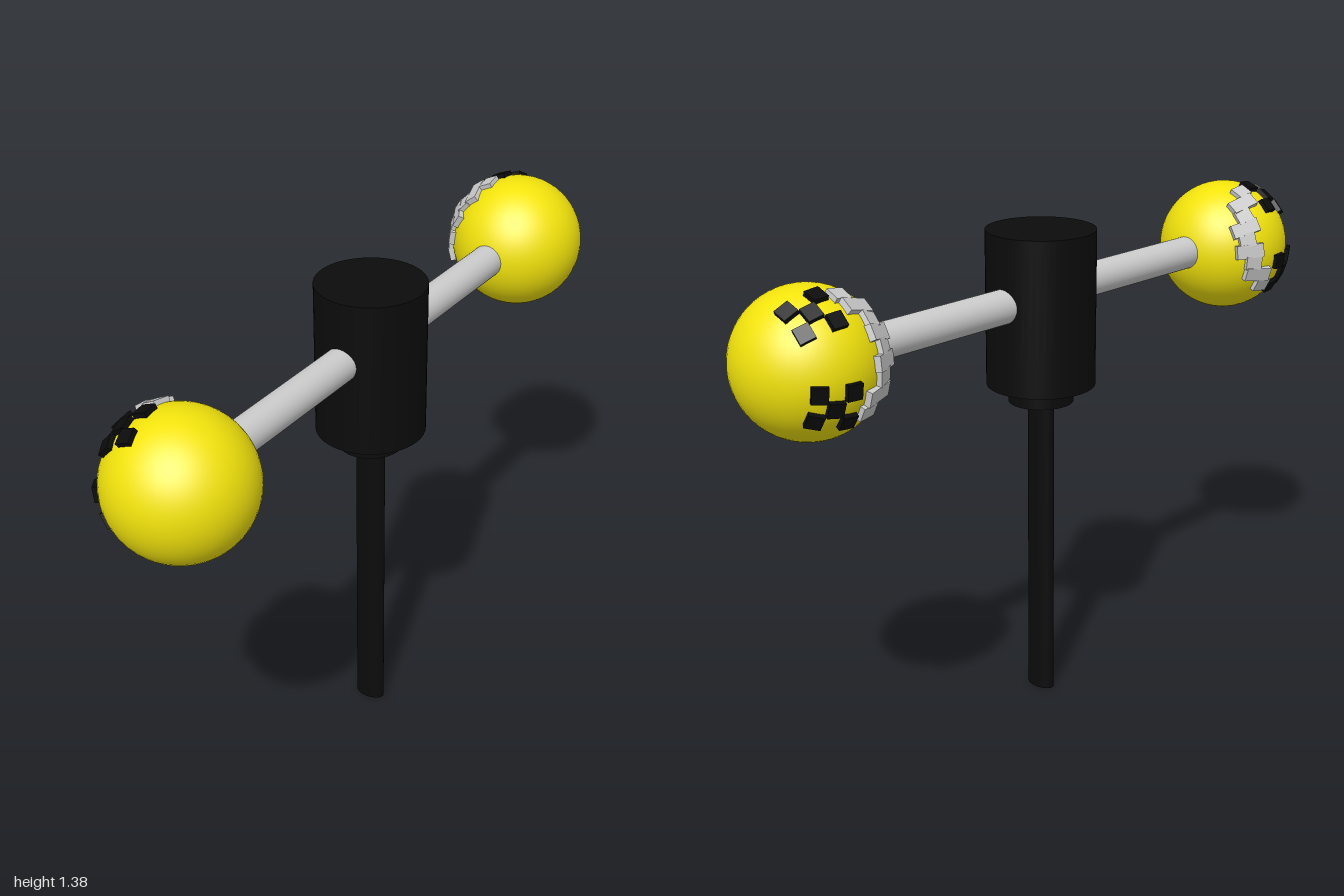
import * as THREE from 'three';

const yellow = new THREE.MeshStandardMaterial({ color: 0xf2e30c });
const black = new THREE.MeshStandardMaterial({ color: 0x0b0b0b });
const grey = new THREE.MeshStandardMaterial({ color: 0xcccccc });

const AXIS_X = 0.005, BALL_R = 0.19, BALL_Z = 0.81;
const rad = THREE.MathUtils.degToRad;

function add(parent, name, geometry, material, x = 0, y = 0, z = 0) {
  const mesh = new THREE.Mesh(geometry, material);
  mesh.name = name;
  mesh.position.set(x, y, z);
  parent.add(mesh);
  return mesh;
}

// A small block lying on the ball's -x side, at an elevation and a sideways angle
function addBlock(ball, name, material, elevation, lateral, height, width) {
  const pivot = new THREE.Group();
  pivot.name = name;
  pivot.rotation.set(0, rad(lateral), -rad(elevation), 'ZYX');
  add(pivot, name + 'Block', new THREE.BoxGeometry(0.02, height, width), material, -BALL_R - 0.001);
  ball.add(pivot);
}

// Ball with a sideways face: crossed eyes on the outer side, smile on the inner side
function createBall(side) {
  const ball = new THREE.Group();
  ball.name = side > 0 ? 'frontBall' : 'backBall';
  add(ball, 'ballShell', new THREE.SphereGeometry(BALL_R, 48, 32), yellow);

  const middle = 18, step = 12.5;
  for (const eye of [-38, 38]) {
    for (const [i, j] of [[0, 0], [-1, -1], [-1, 1], [1, -1], [1, 1]]) {
      addBlock(ball, 'eye', black, middle + eye + i * step, side * (19 + j * step), 0.041, 0.041);
    }
  }
  // Stepped smile with alternating wide and narrow blocks
  for (let i = -4; i <= 4; i++) {
    const lateral = -30 + 1.25 * i * i;
    addBlock(ball, 'smile', grey, middle + i * 11.5, side * lateral, 0.04, i % 2 ? 0.085 : 0.05);
  }
  return ball;
}

export function createModel() {
  const model = new THREE.Group();
  model.name = 'twoBallMallet';

  // Handle: flattened oval shaft, collar and cylindrical head
  const handle = add(model, 'handle', new THREE.CylinderGeometry(0.044, 0.044, 0.9, 32), black, AXIS_X, 0.45);
  handle.scale.z = 0.58;
  add(model, 'collar', new THREE.CylinderGeometry(0.09, 0.09, 0.07, 40), black, AXIS_X, 0.915);
  add(model, 'head', new THREE.CylinderGeometry(0.15, 0.15, 0.43, 48), black, AXIS_X, 1.145);

  // Arms and balls at front and back
  for (const side of [1, -1]) {
    const armY = side > 0 ? 1.184 : 1.174;
    const arm = add(model, side > 0 ? 'frontArm' : 'backArm',
      new THREE.CylinderGeometry(0.047, 0.047, 0.6, 32), grey, AXIS_X, armY, side * 0.4);
    arm.rotation.x = Math.PI / 2;
    const ball = createBall(side);
    ball.position.set(AXIS_X, side > 0 ? 1.18 : 1.173, side * BALL_Z);
    model.add(ball);
  }
  return model;
}
